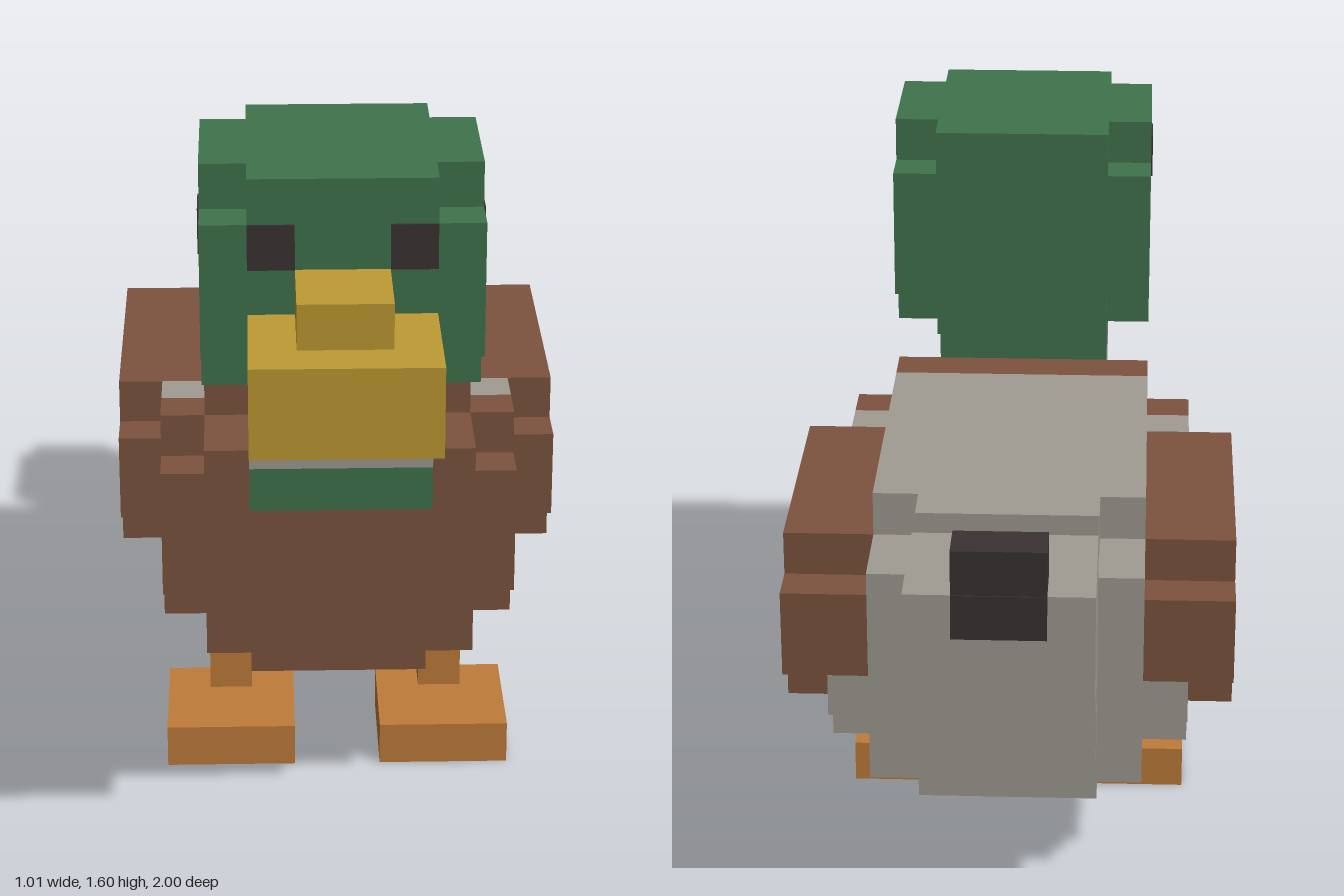
import * as THREE from 'three';

const paint = (name, hex) => {
  const m = new THREE.MeshStandardMaterial({ color: hex });
  m.name = name;
  return m;
};

export function createModel() {
  const model = new THREE.Group();
  model.name = 'duck';
  const green = paint('headGreen', 0x40734c);
  const brown = paint('featherBrown', 0x7d543f);
  const grey = paint('bodyGrey', 0xa09b92);
  const yellow = paint('billYellow', 0xbf9b34);
  const orange = paint('legOrange', 0xc07c39);
  const dark = paint('darkBrown', 0x3a3233);
  const blue = paint('wingBlue', 0x426ab0);

  const part = (name, parent = model) => {
    const g = new THREE.Group();
    g.name = name;
    parent.add(g);
    return g;
  };
  // Block given by its lower and upper limits on each axis
  const block = (parent, name, mat, x0, x1, y0, y1, z0, z1) => {
    const mesh = new THREE.Mesh(new THREE.BoxGeometry(x1 - x0, y1 - y0, z1 - z0), mat);
    mesh.position.set((x0 + x1) / 2, (y0 + y1) / 2, (z0 + z1) / 2);
    mesh.name = name;
    parent.add(mesh);
  };
  // Block centred on x = 0
  const mid = (parent, name, mat, w, ...yz) => block(parent, name, mat, -w, w, ...yz);
  // Same block on both sides
  const pair = (parent, name, mat, x0, x1, ...yz) => {
    block(parent, name + 'Left', mat, x0, x1, ...yz);
    block(parent, name + 'Right', mat, -x1, -x0, ...yz);
  };

  // Head: a cube without its eight corners
  const head = part('head');
  mid(head, 'headTall', green, 0.2, 1.1, 1.6, 0.2, 0.7);
  mid(head, 'headLong', green, 0.3, 1.2, 1.5, 0.2, 0.7);
  mid(head, 'headWide', green, 0.3, 1.1, 1.6, 0.3, 0.6);
  pair(head, 'frontEye', dark, 0.1, 0.2, 1.4, 1.5, 0.698, 0.704);
  pair(head, 'sideEye', dark, 0.298, 0.304, 1.4, 1.5, 0.5, 0.6);

  // Bill
  const bill = part('bill');
  mid(bill, 'billBase', yellow, 0.2, 1.1, 1.3, 0.7, 1.0);
  mid(bill, 'billRidge', yellow, 0.1, 1.3, 1.4, 0.7, 0.9);

  // Neck with a pale ring
  const neck = part('neck');
  mid(neck, 'upperNeck', green, 0.2, 1.0, 1.1, 0.3, 0.6);
  mid(neck, 'neckRing', grey, 0.2, 0.9, 1.0, 0.3, 0.6);
  mid(neck, 'lowerNeck', green, 0.2, 0.8, 0.9, 0.3, 0.6);

  // Brown chest in stepped layers
  const chest = part('chest');
  mid(chest, 'breastFront', brown, 0.2, 0.5, 0.8, 0.2, 0.6);
  mid(chest, 'breastMiddle', brown, 0.3, 0.4, 0.9, 0.2, 0.5);
  mid(chest, 'breastBottom', brown, 0.2, 0.3, 0.5, 0.2, 0.4);
  mid(chest, 'shoulderTall', brown, 0.3, 0.3, 1.0, 0.2, 0.3);
  mid(chest, 'shoulderWide', brown, 0.4, 0.4, 0.9, 0.2, 0.3);
  mid(chest, 'shoulderFront', brown, 0.4, 0.5, 0.8, 0.2, 0.4);

  // Grey body in stepped layers
  const body = part('body');
  mid(body, 'bodyTall', grey, 0.3, 0.3, 1.0, -0.5, 0.2);
  mid(body, 'bodyTallBack', grey, 0.2, 0.3, 1.0, -0.6, 0.2);
  mid(body, 'rump', grey, 0.3, 0.4, 0.9, -0.7, 0.2);
  mid(body, 'rumpBack', grey, 0.2, 0.5, 0.8, -0.8, 0.2);
  pair(body, 'flank', grey, 0.3, 0.4, 0.4, 0.5, -0.5, 0.2);
  pair(body, 'flankFront', grey, 0.3, 0.4, 0.4, 0.9, 0.1, 0.2);
  pair(body, 'flankBack', grey, 0.3, 0.4, 0.5, 0.6, -0.6, -0.5);

  // Tail with a dark curl
  const tail = part('tail');
  mid(tail, 'tailBlock', grey, 0.2, 0.7, 1.0, -1.0, -0.7);
  mid(tail, 'tailCurl', dark, 0.1, 1.0, 1.1, -1.0, -0.9);
  mid(tail, 'tailMark', dark, 0.1, 0.9, 1.0, -1.003, -0.998);

  // Wings with blue patches
  const wings = part('wings');
  pair(wings, 'wing', brown, 0.3, 0.5, 0.5, 0.9, -0.5, 0.1);
  pair(wings, 'wingEnds', brown, 0.3, 0.5, 0.6, 0.8, -0.6, 0.2);
  pair(wings, 'wingPatch', blue, 0.498, 0.503, 0.6, 0.8, -0.4, -0.2);

  // Legs and feet
  const legs = part('legs');
  pair(legs, 'leg', orange, 0.2, 0.3, 0.1, 0.3, 0, 0.1);
  pair(legs, 'foot', orange, 0.1, 0.4, 0, 0.1, 0, 0.3);

  return model;
}
